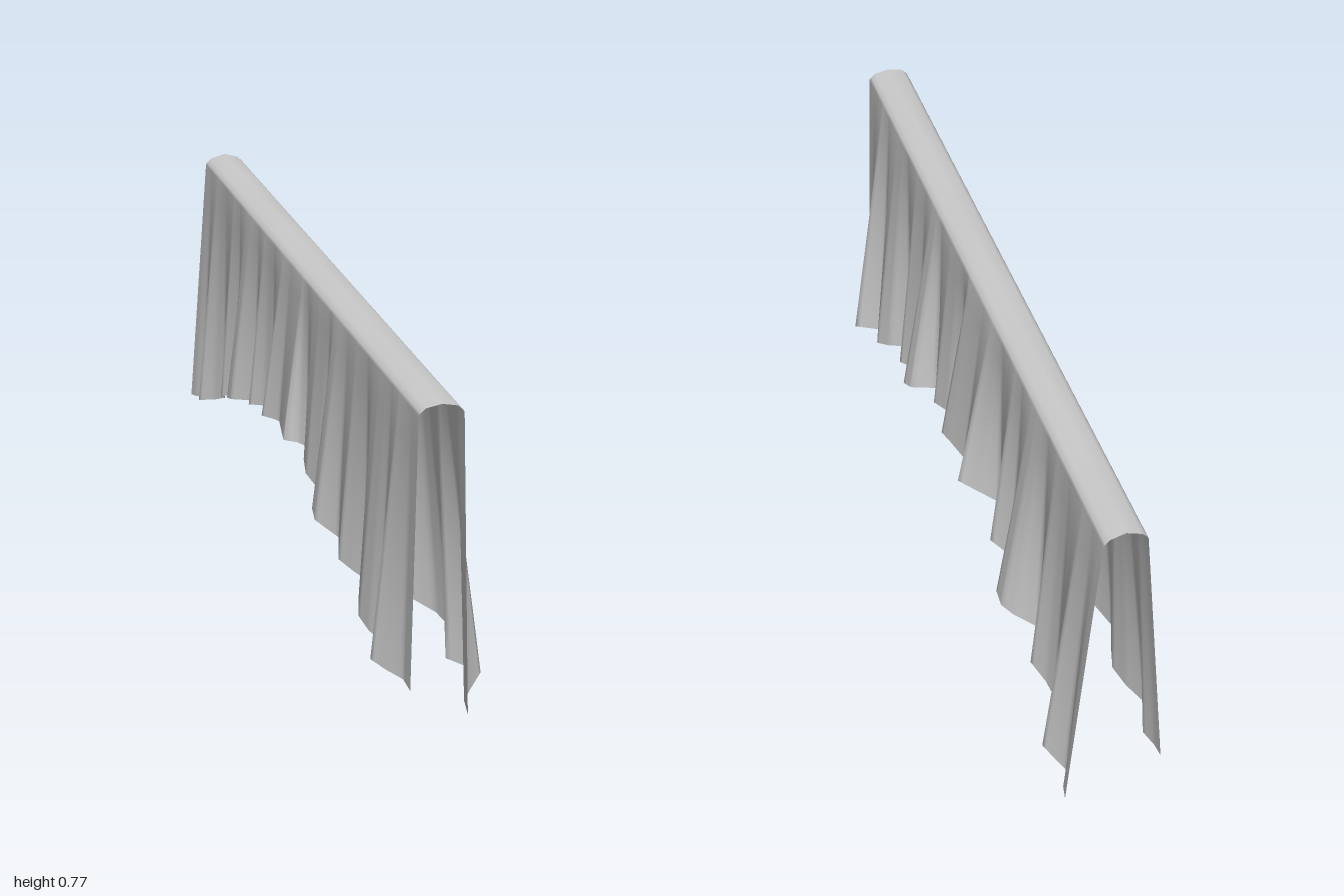
import * as THREE from 'three';

// Hem fold positions: [z, x of right-hand hem, x of left-hand hem]
const folds = [
  [-1, 0.11, -0.12], [-0.97, 0.105, -0.115], [-0.93, 0.085, -0.1], [-0.86, 0.122, -0.13],
  [-0.81, 0.085, -0.1], [-0.76, 0.06, -0.08], [-0.72, 0.07, -0.09], [-0.67, 0.093, -0.112],
  [-0.6, 0.048, -0.078], [-0.55, 0.1, -0.115], [-0.52, 0.121, -0.13], [-0.48, 0.121, -0.13],
  [-0.4, 0.055, -0.082], [-0.34, 0.095, -0.115], [-0.29, 0.06, -0.088], [-0.24, 0.04, -0.073],
  [-0.2, 0.08, -0.1], [-0.15, 0.122, -0.128], [-0.08, 0.085, -0.1], [0.01, 0.105, -0.116],
  [0.04, 0.11, -0.12], [0.06, 0.06, -0.09], [0.09, 0.037, -0.07], [0.14, 0.068, -0.095],
  [0.2, 0.086, -0.106], [0.26, 0.065, -0.092], [0.29, 0.05, -0.08], [0.33, 0.112, -0.125],
  [0.37, 0.121, -0.129], [0.44, 0.06, -0.09], [0.52, 0.092, -0.112], [0.57, 0.06, -0.09],
  [0.61, 0.036, -0.069], [0.66, 0.085, -0.103], [0.71, 0.106, -0.117], [0.76, 0.092, -0.108],
  [0.8, 0.065, -0.092], [0.86, 0.13, -0.132], [0.91, 0.09, -0.105], [0.95, 0.062, -0.082],
  [1, 0.055, -0.08],
];
// Hem height on the right-hand side, every 0.1 in z from -1 to 1
const hem = [0.005, 0.032, 0.072, 0.12, 0.17, 0.2, 0.228, 0.255, 0.28, 0.295, 0.297,
  0.287, 0.264, 0.233, 0.2, 0.17, 0.144, 0.1, 0.067, 0.04, 0.022];
// Rounded ridge section from left to right
const ridge = [[-0.068, 0.747], [-0.064, 0.753], [-0.053, 0.763], [-0.016, 0.772],
  [0.02, 0.763], [0.031, 0.753], [0.035, 0.747]];

const ROWS = 8, COLS = 200;

function foldAt(z, side) {
  let k = 0;
  while (k < folds.length - 2 && folds[k + 1][0] < z) k++;
  const a = folds[k], b = folds[k + 1];
  return THREE.MathUtils.mapLinear(z, a[0], b[0], a[side], b[side]);
}

function hemAt(z) {
  const t = (z + 1) * 10, k = Math.min(Math.floor(t), hem.length - 2);
  return THREE.MathUtils.lerp(hem[k], hem[k + 1], t - k);
}

// Cross-section: left hem, up over the ridge, down to the right hem
function section(z) {
  const right = [foldAt(z, 1), hemAt(z)];
  const left = [foldAt(z, 2), hemAt(z) + 0.042 + 0.033 * z * z];
  const mix = (a, b, t) => [a[0] + (b[0] - a[0]) * t, a[1] + (b[1] - a[1]) * t];
  const pts = [];
  for (let i = 0; i < ROWS; i++) pts.push(mix(left, ridge[0], i / ROWS));
  ridge.forEach(([x, y], i) => {
    const sag = i === 3 ? 0.002 * Math.sin(z * 11) : 0;
    pts.push([x, y + sag]);
  });
  for (let i = 1; i <= ROWS; i++) pts.push(mix(ridge[ridge.length - 1], right, i / ROWS));
  return pts;
}

export function createModel() {
  const group = new THREE.Group();
  group.name = 'hangingCloth';

  const cloth = new THREE.MeshStandardMaterial({ color: 0xcccccc, side: THREE.DoubleSide });
  cloth.name = 'grey cloth';

  // Sheet lofted along z
  const positions = [], index = [];
  let n = 0;
  for (let j = 0; j <= COLS; j++) {
    const z = -1 + (2 * j) / COLS;
    const pts = section(z);
    n = pts.length;
    pts.forEach(([x, y]) => positions.push(x, y, z));
  }
  for (let j = 0; j < COLS; j++) {
    for (let i = 0; i < n - 1; i++) {
      const a = j * n + i, b = a + n;
      index.push(a, b, a + 1, b, b + 1, a + 1);
    }
  }
  const geometry = new THREE.BufferGeometry();
  geometry.setAttribute('position', new THREE.Float32BufferAttribute(positions, 3));
  geometry.setIndex(index);
  geometry.computeVertexNormals();

  const sheet = new THREE.Mesh(geometry, cloth);
  sheet.name = 'drapedSheet';
  group.add(sheet);
  return group;
}
